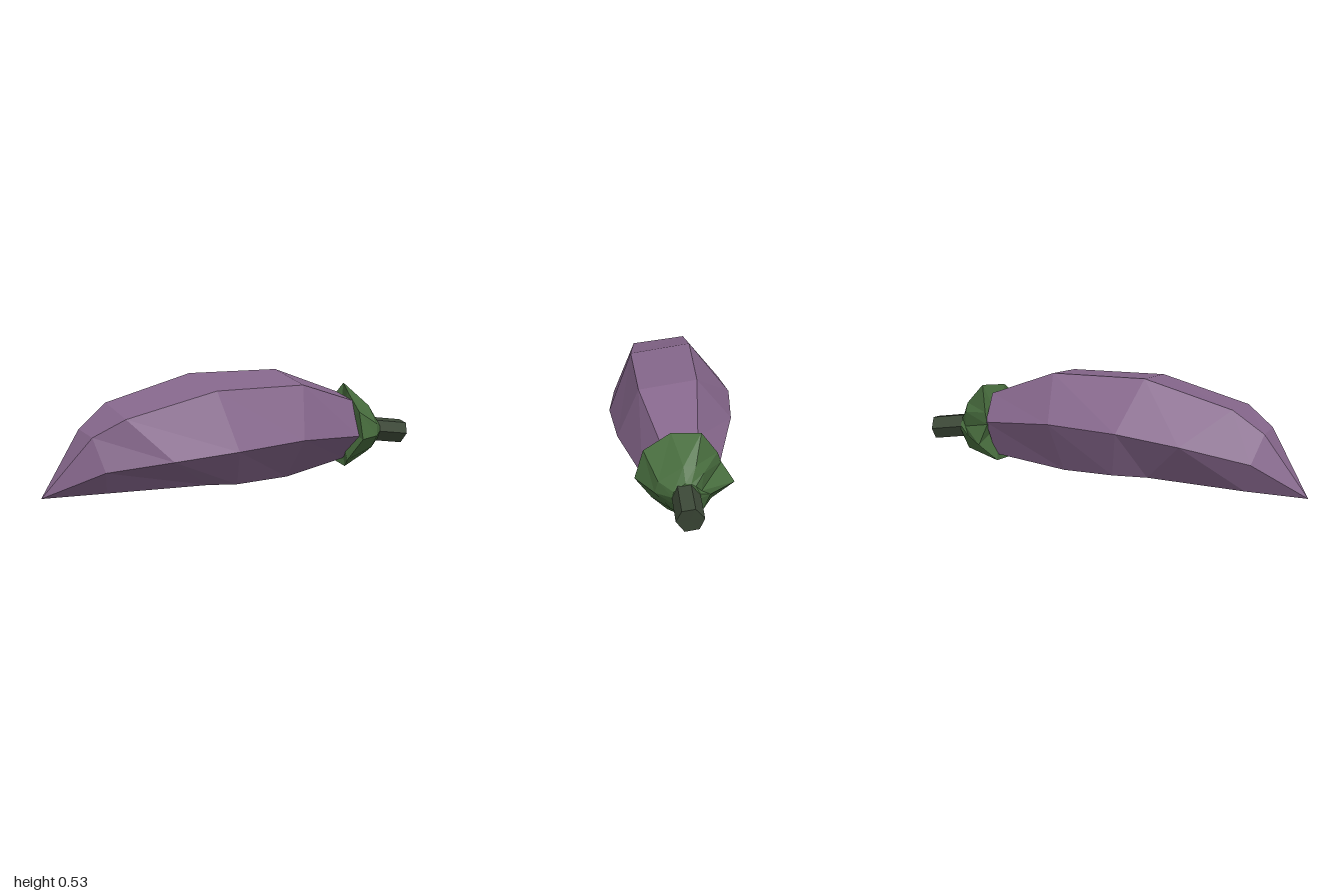
import * as THREE from 'three';

// Skin a list of rings (each an array of [x, y, z], ordered from +z through +y) along +x.
function loft(rings, material, name) {
  const pos = [];
  const tri = (a, b, c) => pos.push(...a, ...b, ...c);
  const centre = (r) => [0, 1, 2].map((k) => r.reduce((s, p) => s + p[k], 0) / r.length);
  const n = rings[0].length;
  const first = rings[0], last = rings[rings.length - 1];
  const c0 = centre(first), c1 = centre(last);
  for (let j = 0; j < n; j++) {
    const k = (j + 1) % n;
    for (let i = 0; i < rings.length - 1; i++) {
      const a = rings[i], b = rings[i + 1];
      tri(a[j], b[j], a[k]);
      tri(a[k], b[j], b[k]);
    }
    tri(c0, first[j], first[k]);
    tri(c1, last[k], last[j]);
  }
  const geo = new THREE.BufferGeometry();
  geo.setAttribute('position', new THREE.Float32BufferAttribute(pos, 3));
  geo.computeVertexNormals(); // unshared corners give flat facets
  const mesh = new THREE.Mesh(geo, material);
  mesh.name = name;
  return mesh;
}

export function createModel() {
  const purple = new THREE.MeshStandardMaterial({ name: 'purple skin', color: 0x86678c });
  const green = new THREE.MeshStandardMaterial({ name: 'leaf green', color: 0x4a7040 });
  const darkGreen = new THREE.MeshStandardMaterial({ name: 'dark stem green', color: 0x3c4837 });
  const group = new THREE.Group();
  group.name = 'eggplant';

  // Body: bent hexagonal sections growing from a pointed tip
  const tip = [-1, 0.005, -0.06];
  const body = [
    Array(6).fill(tip),
    [[-0.75, 0.14, 0.13], [-0.79, 0.3, 0.07], [-0.79, 0.31, -0.1],
      [-0.75, 0.18, -0.19], [-0.71, 0.03, -0.13], [-0.71, 0.018, 0.04]],
    [[-0.46, 0.185, 0.26], [-0.65, 0.385, 0.14], [-0.64, 0.42, -0.125],
      [-0.43, 0.26, -0.29], [-0.24, 0.06, -0.18], [-0.22, 0.018, 0.125]],
    [[-0.14, 0.207, 0.3], [-0.2, 0.487, 0.185], [-0.2, 0.53, -0.11],
      [-0.12, 0.297, -0.303], [-0.07, 0.06, -0.205], [-0.07, 0.008, 0.145]],
    [[0.23, 0.22, 0.28], [0.28, 0.475, 0.18], [0.28, 0.515, -0.095],
      [0.24, 0.3, -0.265], [0.2, 0.045, -0.16], [0.23, 0.003, 0.11]],
    [[0.61, 0.185, 0.188], [0.62, 0.355, 0.11], [0.63, 0.375, -0.06],
      [0.62, 0.25, -0.165], [0.6, 0.07, -0.1], [0.59, 0.05, 0.07]],
  ];
  group.add(loft(body, purple, 'body'));

  // Calyx: pointed rim, ridged shoulder and a small collar around the stem
  const rim = [
    [0.61, 0.175, 0.225], [0.61, 0.31, 0.185], [0.62, 0.395, 0.06], [0.68, 0.415, -0.07],
    [0.63, 0.295, -0.15], [0.61, 0.24, -0.17], [0.63, 0.147, -0.23], [0.58, 0.045, -0.13],
    [0.6, 0.007, 0.075], [0.57, 0.057, 0.145],
  ];
  const shoulder = [
    [0.75, 0.165, 0.145], [0.76, 0.223, 0.13], [0.78, 0.3, 0.02], [0.785, 0.305, -0.035],
    [0.78, 0.265, -0.07], [0.79, 0.185, -0.06], [0.75, 0.147, -0.105], [0.77, 0.075, -0.065],
    [0.77, 0.055, 0.02], [0.77, 0.09, 0.07],
  ];
  const collar = shoulder.map(([, y, z]) => {
    const a = Math.atan2(y - 0.175, z - 0.01);
    return [0.82, 0.175 + 0.062 * Math.sin(a), 0.01 + 0.062 * Math.cos(a)];
  });
  group.add(loft([rim, shoulder, collar], green, 'calyx'));

  // Stem: one six-sided section swept back into the calyx
  const stemEnd = [
    [0.99, 0.14, 0.075], [1, 0.192, 0.05], [1, 0.2, -0.01],
    [0.99, 0.15, -0.052], [0.98, 0.095, -0.03], [0.98, 0.085, 0.035],
  ];
  const stemRoot = stemEnd.map(([x, y, z]) => [x - 0.21, y + 0.035, z]);
  group.add(loft([stemRoot, stemEnd], darkGreen, 'stem'));

  return group;
}
